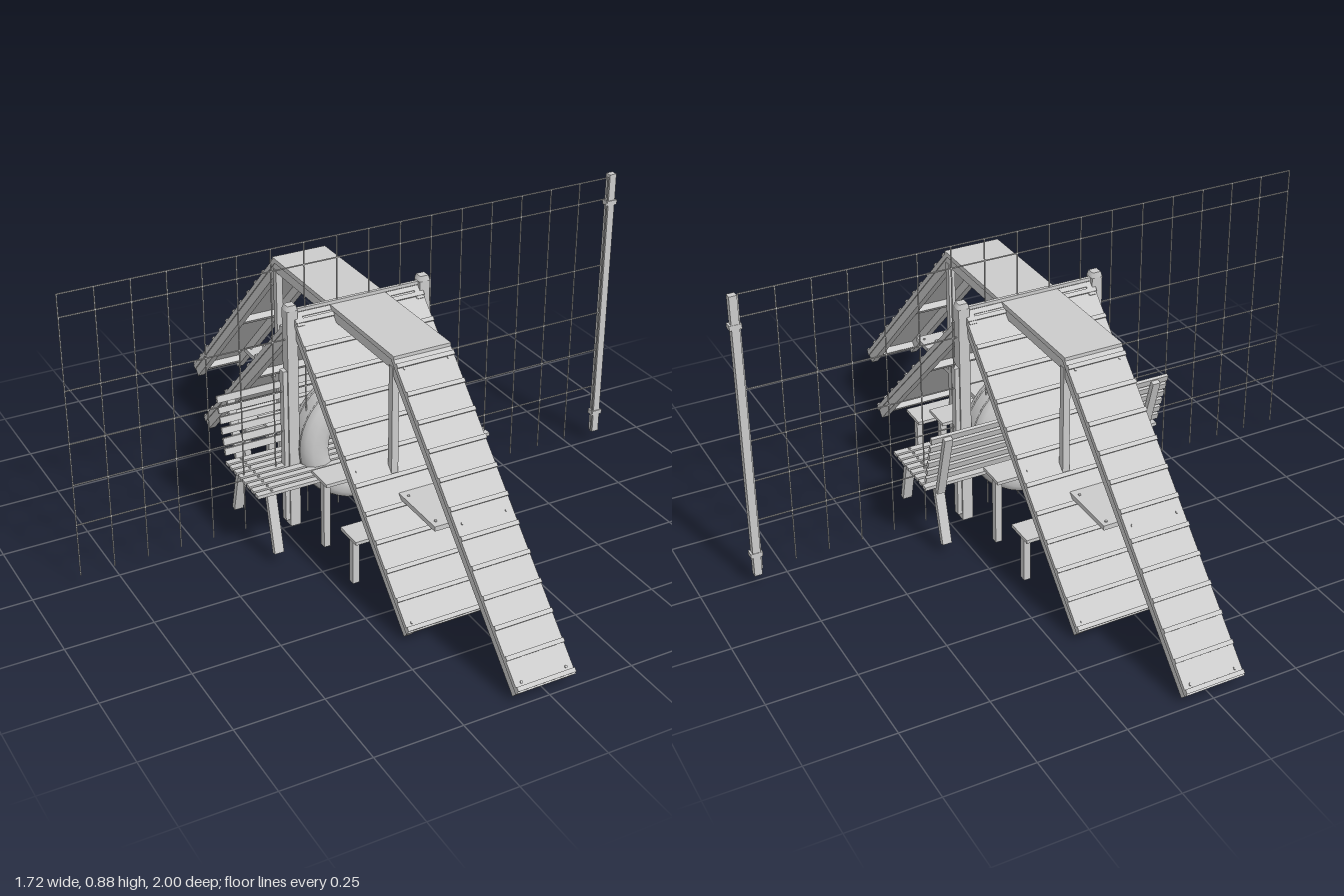
import * as THREE from 'three';

const mat = new THREE.MeshStandardMaterial({ color: 0xcccccc, side: THREE.DoubleSide });
const CX = -0.007; // shared centre line of the equipment

function box(parent, name, w, h, d, x, y, z) {
  const m = new THREE.Mesh(new THREE.BoxGeometry(w, h, d), mat);
  m.name = name;
  m.position.set(x, y, z);
  parent.add(m);
  return m;
}

function group(parent, name, x = 0, y = 0, z = 0) {
  const g = new THREE.Group();
  g.name = name;
  g.position.set(x, y, z);
  parent.add(g);
  return g;
}

// Square bar between two points in the y-z plane
function bar(parent, name, x, [z1, y1], [z2, y2], w, t) {
  const len = Math.hypot(z2 - z1, y2 - y1);
  const m = box(parent, name, w, len, t, x, (y1 + y2) / 2, (z1 + z2) / 2);
  m.rotation.x = Math.atan2(z2 - z1, y2 - y1);
  return m;
}

function bolt(parent, x, y, z) {
  const m = new THREE.Mesh(new THREE.CylinderGeometry(0.004, 0.004, 0.004, 8), mat);
  m.name = 'bolt';
  m.position.set(x, y, z);
  parent.add(m);
}

// Sloping panel with side rails and cleats, running down local +z
function ramp(parent, name, width, y, z, length, angle) {
  const g = group(parent, name, 0, y, z);
  g.rotation.x = angle;
  box(g, 'rampPanel', width, 0.014, length, 0, -0.011, length / 2);
  for (const s of [-1, 1]) {
    box(g, 'sideRail', 0.022, 0.032, length, s * (width / 2 - 0.014), -0.028, length / 2);
  }
  const n = 12;
  for (let i = 0; i < n; i++) {
    box(g, 'cleat', width, 0.007, 0.012, 0, -0.001, 0.03 + i * (length - 0.04) / (n - 1));
  }
  for (const t of [0.03, 0.5, 0.96]) {
    box(g, 'crossBrace', width - 0.03, 0.02, 0.02, 0, -0.028, t * length);
    for (const s of [-1, 1]) bolt(g, s * (width / 2 - 0.02), -0.003, t * length + 0.012);
  }
  return g;
}

function addRamps(root) {
  const aFrame = group(root, 'aFrame', CX);
  const walk = group(root, 'raisedWalk', CX);
  for (const turn of [0, Math.PI]) {
    const a = group(aFrame, 'aFrameHalf');
    a.rotation.y = turn;
    ramp(a, 'aFrameRamp', 0.4, 0.68, 0, 0.918, 0.776);

    const w = group(walk, 'walkHalf');
    w.rotation.y = turn;
    ramp(w, 'walkRamp', 0.172, 0.68, 0.355, 0.91, 0.784);
    for (const s of [-1, 1]) box(w, 'walkPost', 0.02, 0.645, 0.02, s * 0.076, 0.3225, 0.345);
    box(w, 'walkCrossbar', 0.17, 0.025, 0.016, 0, 0.63, 0.345);
  }
  // Level deck between the two walk ramps
  box(walk, 'walkDeck', 0.172, 0.014, 0.72, 0, 0.672, 0);
  for (const s of [-1, 1]) box(walk, 'deckRail', 0.022, 0.03, 0.71, s * 0.073, 0.652, 0);
}

// Tall posts with a top rail
function addCentrePosts(root) {
  const g = group(root, 'centrePosts', CX);
  for (const s of [-1, 1]) {
    box(g, 'centrePost', 0.032, 0.68, 0.032, s * 0.207, 0.35, 0);
    const cap = new THREE.Mesh(new THREE.CylinderGeometry(0.018, 0.023, 0.015, 4), mat);
    cap.name = 'postCap';
    cap.rotation.y = Math.PI / 4;
    cap.position.set(s * 0.207, 0.6975, 0);
    g.add(cap);
  }
  box(g, 'topRail', 0.4, 0.01, 0.01, 0, 0.684, 0);
}

// Hanging tyre in its own frame
function addTyre(root) {
  const g = group(root, 'tyreJump', CX);
  const half = [[0.115, 0.035], [0.118, 0.048], [0.14, 0.06], [0.17, 0.058], [0.188, 0.045], [0.195, 0.025]];
  const profile = [...half, ...half.slice().reverse().map(([r, h]) => [r, -h])];
  const tyre = new THREE.Mesh(
    new THREE.LatheGeometry(profile.map(([r, h]) => new THREE.Vector2(r, h)), 40), mat);
  tyre.name = 'tyre';
  tyre.rotation.x = Math.PI / 2;
  tyre.position.y = 0.257;
  g.add(tyre);
  for (const h of [-0.022, 0.022]) {
    const rib = new THREE.Mesh(new THREE.TorusGeometry(0.194, 0.003, 6, 40), mat);
    rib.name = 'treadRib';
    rib.position.set(0, 0.257, h);
    g.add(rib);
  }
  for (const s of [-1, 1]) box(g, 'tyreFramePost', 0.016, 0.48, 0.022, s * 0.228, 0.27, 0);
}

// Balance plank and the small step benches
function addPlanks(root) {
  const seesaw = group(root, 'seesaw', CX);
  box(seesaw, 'seesawPlank', 0.172, 0.014, 1.16, 0, 0.28, 0.004);
  for (const z of [-0.56, -0.42, -0.28, -0.14, 0.14, 0.28, 0.42, 0.56]) {
    for (const s of [-1, 1]) bolt(seesaw, s * 0.07, 0.288, z);
  }
  for (const [z, top, foot] of [[0.345, 0.166, 0.01], [0.175, 0.254, 0.03]]) {
    for (const s of [-1, 1]) {
      const g = group(root, 'stepBench', CX, 0, s * z);
      box(g, 'stepTop', 0.425, 0.01, 0.088, 0, top - 0.005, 0);
      box(g, 'stepCrossbar', 0.4, 0.014, 0.02, 0, top - 0.017, 0);
      for (const e of [-1, 1]) {
        box(g, 'stepLeg', 0.02, top - 0.01 - foot, 0.02, e * 0.193, (top - 0.01 + foot) / 2, 0);
      }
    }
  }
}

// Long slatted bench
function addBench(root) {
  const g = group(root, 'slattedBench', CX);
  for (const s of [-1, 1]) {
    const x = s * 0.327;
    bar(g, 'frontLeg', x, [0.105, 0.2], [0.147, 0.03], 0.028, 0.016);
    bar(g, 'backLeg', x, [-0.077, 0.2], [-0.122, 0.03], 0.028, 0.016);
    bar(g, 'backSupport', x, [-0.094, 0.19], [-0.152, 0.39], 0.024, 0.014);
    box(g, 'seatSupport', 0.024, 0.018, 0.21, x, 0.193, 0.005);
  }
  for (let i = 0; i < 8; i++) {
    const z = 0.112 - i * 0.028;
    box(g, 'seatSlat', 0.745, 0.01, 0.02, 0, 0.207, z);
    for (const s of [-1, 1]) bolt(g, s * 0.327, 0.213, z);
  }
  for (let i = 0; i < 6; i++) {
    const t = i / 5;
    const slat = box(g, 'backSlat', 0.745, 0.02, 0.01, 0, 0.24 + 0.148 * t, -0.096 - 0.043 * t);
    slat.rotation.x = -0.28;
  }
}

// Wire fence with an end post
function addFence(root) {
  const g = group(root, 'wireFence');
  const wire = 0.003, left = -0.86, right = 0.82;
  for (let i = 0; i < 18; i++) {
    box(g, 'fenceUpright', wire, 0.843, wire, left + i * (right - left) / 17, 0.4565, 0);
  }
  for (const y of [0.878, 0.813, 0.602, 0.445, 0.32, 0.195]) {
    box(g, 'fenceWire', right - left, wire, wire, (left + right) / 2, y, 0);
  }
  box(g, 'fencePost', 0.022, 0.855, 0.02, 0.838, 0.4575, -0.01);
  for (const y of [0.797, 0.097]) box(g, 'fenceBracket', 0.034, 0.014, 0.024, 0.838, y, -0.009);
}

export function createModel() {
  const root = new THREE.Group();
  root.name = 'obstacleCourse';
  addRamps(root);
  addCentrePosts(root);
  addTyre(root);
  addPlanks(root);
  addBench(root);
  addFence(root);
  return root;
}
